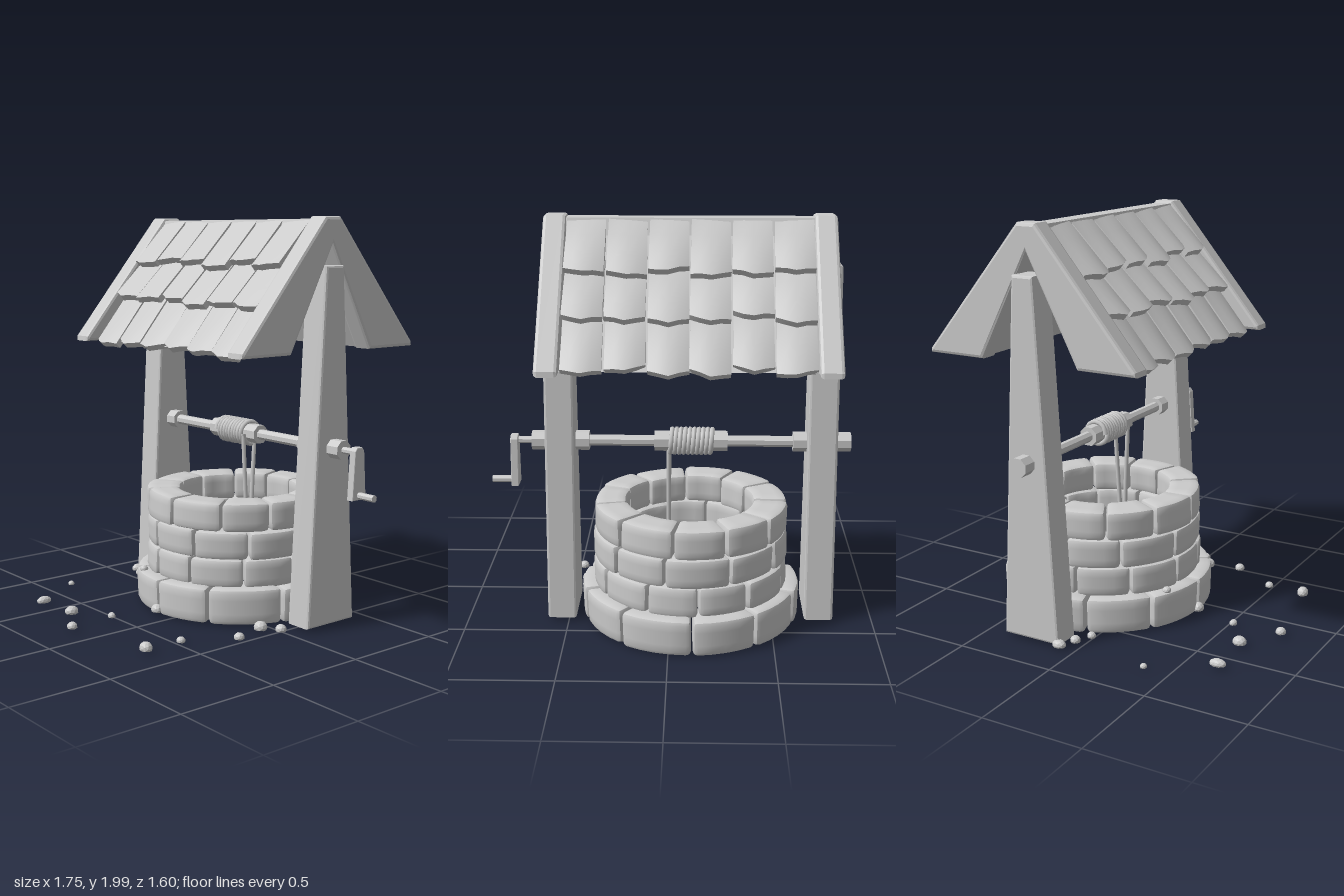
import * as THREE from 'three';
import { mergeVertices, toCreasedNormals } from 'three/addons/utils/BufferGeometryUtils.js';

const grey = new THREE.MeshStandardMaterial({ color: 0xcccccc });
const flat = new THREE.MeshStandardMaterial({ color: 0xcccccc, flatShading: true });

let seed = 7;
const rnd = () => (seed = (seed * 16807) % 2147483647) / 2147483647;
const jit = (a) => (rnd() * 2 - 1) * a;

function add(parent, name, geo, mat = grey) {
  const mesh = new THREE.Mesh(geo, mat);
  mesh.name = name;
  parent.add(mesh);
  return mesh;
}

// Bevelled slab whose outline lies in the z-y plane, running from x0 to x0 + depth
function sideSlab(points, x0, depth, bevel = 0.012) {
  const geo = new THREE.ExtrudeGeometry(new THREE.Shape(points.map((p) => new THREE.Vector2(...p))), {
    depth: depth - 2 * bevel, bevelEnabled: true, bevelThickness: bevel,
    bevelSize: bevel, bevelOffset: -bevel, bevelSegments: 2,
  });
  return geo.translate(0, 0, bevel).rotateY(Math.PI / 2).translate(x0, 0, 0);
}

// Rod along x
const rod = (r, x0, x1, sides) =>
  new THREE.CylinderGeometry(r, r, x1 - x0, sides).rotateZ(Math.PI / 2).rotateX(Math.PI / 8).translate((x0 + x1) / 2, 0, 0);

// Rounded block bent around the well axis
function stone(a0, a1, rIn, rOut, y0, y1) {
  const rm = (rIn + rOut) / 2;
  const half = [((a1 - a0) * rm) / 2, (y1 - y0) / 2, (rOut - rIn) / 2];
  const round = 0.021;
  let geo = new THREE.BoxGeometry(2, 2, 2, 6, 6, 6);
  geo.deleteAttribute('uv');
  geo.deleteAttribute('normal');
  geo = mergeVertices(geo);
  const pos = geo.attributes.position;
  const p = new THREE.Vector3(), q = new THREE.Vector3();
  const slope = jit(0.05);
  for (let i = 0; i < pos.count; i++) {
    p.fromBufferAttribute(pos, i);
    for (let k = 0; k < 3; k++) {
      const t = p.getComponent(k), inner = half[k] - round;
      const v = Math.abs(t) > 0.9 ? Math.sign(t) * half[k] : t * 1.5 * inner;
      p.setComponent(k, v);
      q.setComponent(k, THREE.MathUtils.clamp(v, -inner, inner));
    }
    p.sub(q).setLength(round).add(q);
    const a = (a0 + a1) / 2 + p.x / rm, r = rm + p.z + slope * p.y;
    pos.setXYZ(i, Math.sin(a) * r, (y0 + y1) / 2 + p.y + slope * 0.3 * p.x, Math.cos(a) * r);
  }
  return toCreasedNormals(geo, 0.7);
}

function stoneWall() {
  const wall = new THREE.Group();
  wall.name = 'stoneWall';
  // start angle, stone count, inner radius, outer radius, bottom, top
  const rows = [
    [0, 10, 0.35, 0.535, 0.01, 0.188],
    [-0.2, 11, 0.325, 0.475, 0.18, 0.325],
    [-0.23, 10, 0.315, 0.475, 0.322, 0.467],
    [0.08, 11, 0.31, 0.475, 0.465, 0.61],
  ];
  rows.forEach(([start, n, rIn, rOut, y0, y1]) => {
    const step = (Math.PI * 2) / n;
    const cuts = Array.from({ length: n }, (_, i) => start + i * step + (i ? jit(0.05) : 0));
    cuts.push(start + Math.PI * 2);
    for (let i = 0; i < n; i++)
      add(wall, 'stone', stone(cuts[i] + 0.008, cuts[i + 1] - 0.008, rIn + jit(0.012), rOut + jit(0.005), y0, y1 + jit(0.004)));
  });
  return wall;
}

// Crowned shingle hanging down from its top edge, with a pointed lower edge
function shingleGeometry(w, len) {
  const geo = new THREE.BoxGeometry(2, 1, 0.034, 4, 3, 1);
  const pos = geo.attributes.position;
  const slant = jit(0.012), point = 0.035 + jit(0.008), tip = jit(0.2);
  for (let i = 0; i < pos.count; i++) {
    const u = pos.getX(i), v = 0.5 - pos.getY(i);
    const side = Math.abs(u - tip * (1 - u * u));
    pos.setXYZ(i, (u * w * (0.97 + 0.03 * v)) / 2, -v * (len - point * side + slant * u), pos.getZ(i) - 0.022 * u * u * v);
  }
  return toCreasedNormals(geo, 0.6);
}

function roof() {
  const group = new THREE.Group();
  group.name = 'roof';
  group.position.x = 0.007;
  // Gable rafters at both ends
  const outline = [[-0.565, 1.36], [-0.26, 1.36], [0, 1.87], [0.26, 1.36], [0.565, 1.36], [0.562, 1.385],
    [0.05, 2], [-0.05, 2], [-0.562, 1.385]];
  for (const x of [-0.677, 0.572]) add(group, 'gableRafter', sideSlab(outline, x, 0.108, 0.016));
  // Solid roof body under the shingles, and ridge
  add(group, 'roofBody', sideSlab([[-0.478, 1.365], [-0.27, 1.365], [0, 1.882], [0.27, 1.365], [0.478, 1.365], [0, 1.945]], -0.58, 1.16, 0.002));
  add(group, 'ridgeBeam', sideSlab([[-0.075, 1.91], [0.075, 1.91], [0.045, 1.988], [-0.045, 1.988]], -0.58, 1.16, 0.008));

  // Shingle rows: start and end along the slope, height above the slope at both ends
  const rows = [[0.0, 0.325, -0.02, 0.035], [0.2, 0.55, -0.045, 0.02], [0.4, 0.785, -0.06, -0.035]];
  const columns = 6, w = 1.145 / columns;
  for (const turn of [0, Math.PI]) {
    const side = new THREE.Group();
    side.name = 'roofSide';
    side.rotation.y = turn;
    const slope = new THREE.Group();
    slope.position.set(0, 1.985, 0.045);
    slope.rotation.x = -0.689;
    side.add(slope);
    group.add(side);
    rows.forEach(([s0, s1, n0, n1]) => {
      for (let i = 0; i < columns; i++) {
        const len = s1 - s0 + jit(0.02);
        const shingle = add(slope, 'shingle', shingleGeometry(w - 0.006, len));
        shingle.position.set((i - (columns - 1) / 2) * w, -s0, n0);
        shingle.rotation.set(-Math.atan2(n1 - n0, len), jit(0.04), jit(0.012));
      }
    });
  }
  return group;
}

function windlass() {
  const group = new THREE.Group();
  group.name = 'windlass';
  group.position.y = 0.9;
  add(group, 'axle', rod(0.027, -0.7, 0.7, 8), flat);
  for (const s of [-1, 1]) {
    add(group, 'axleBearing', rod(0.048, Math.min(s * 0.495, s * 0.775), Math.max(s * 0.495, s * 0.775), 8), flat);
    add(group, 'spoolCollar', rod(0.05, Math.min(s * 0.115, s * 0.178), Math.max(s * 0.115, s * 0.178), 8), flat);
  }
  add(group, 'spool', rod(0.05, -0.12, 0.12, 8), flat);

  // Wound rope and its hanging strands
  const turns = 10, coil = [];
  for (let i = 0; i <= turns * 12; i++) {
    const a = (i / 12) * Math.PI * 2;
    coil.push(new THREE.Vector3(-0.108 + (0.216 * i) / (turns * 12), Math.sin(a) * 0.058, Math.cos(a) * 0.058));
  }
  add(group, 'ropeCoil', new THREE.TubeGeometry(new THREE.CatmullRomCurve3(coil), turns * 16, 0.0125, 6));
  for (const [z0, z1] of [[0.058, 0.03], [-0.02, 0.015]]) {
    const line = new THREE.LineCurve3(new THREE.Vector3(0.108, 0, z0), new THREE.Vector3(0.11, -0.58, z1));
    add(group, 'hangingRope', new THREE.TubeGeometry(line, 1, 0.011, 6));
  }

  // Crank with tapered arm
  add(group, 'crankShaft', rod(0.017, 0.7, 0.86, 8), flat);
  add(group, 'crankArm', sideSlab([[-0.045, -0.225], [0.045, -0.225], [0.03, 0.01], [0.017, 0.027], [-0.017, 0.027], [-0.03, 0.01]], 0.843, 0.038, 0.004));
  add(group, 'crankHandle', rod(0.017, 0.87, 0.978, 8).translate(0, -0.203, 0), flat);
  return group;
}

function pebbles() {
  const group = new THREE.Group();
  group.name = 'pebbles';
  // x, z, radius, length along z and optional ground height
  const spots = [[-0.79, 0.375, 0.017, 1], [-0.605, 0.66, 0.026, 1.6], [-0.355, 0.65, 0.031, 1.15], [-0.175, 0.53, 0.021, 0.9],
    [-0.155, 0.775, 0.026, 1], [0.34, 0.49, 0.022, 1], [0.33, 0.685, 0.034, 0.85], [0.48, 0.25, 0.026, 1],
    [-0.105, 0.3, 0.032, 0.9], [-0.8, -0.08, 0.028, 1.3], [-0.72, -0.04, 0.026, 1], [-0.64, 0, 0.022, 1],
    [0.44, 0.08, 0.034, 1], [0.52, 0.02, 0.028, 1], [-0.31, 0.23, 0.022, 1, 0.18]];
  for (const [x, z, r, long, y = 0.02] of spots) {
    const geo = new THREE.IcosahedronGeometry(r, 1);
    const pos = geo.attributes.position;
    for (let i = 0; i < pos.count; i++) pos.setY(i, Math.max(pos.getY(i), -r * 0.4));
    const pebble = add(group, 'pebble', geo, flat);
    pebble.position.set(x, y + r * 0.4, z);
    pebble.scale.set(1, 0.9, long);
    pebble.rotation.y = jit(0.2);
  }
  return group;
}

export function createModel() {
  const model = new THREE.Group();
  model.name = 'well';
  const body = new THREE.Group();
  body.name = 'wellBody';
  body.position.set(-0.101, 0, -0.235);
  // Tapered posts
  for (const x of [-0.704, 0.561])
    add(body, 'post', sideSlab([[-0.155, 0.025], [0.155, 0.025], [0.058, 1.77], [-0.058, 1.77]], x, 0.143));
  body.add(stoneWall(), roof(), windlass());
  model.add(body, pebbles());
  return model;
}
